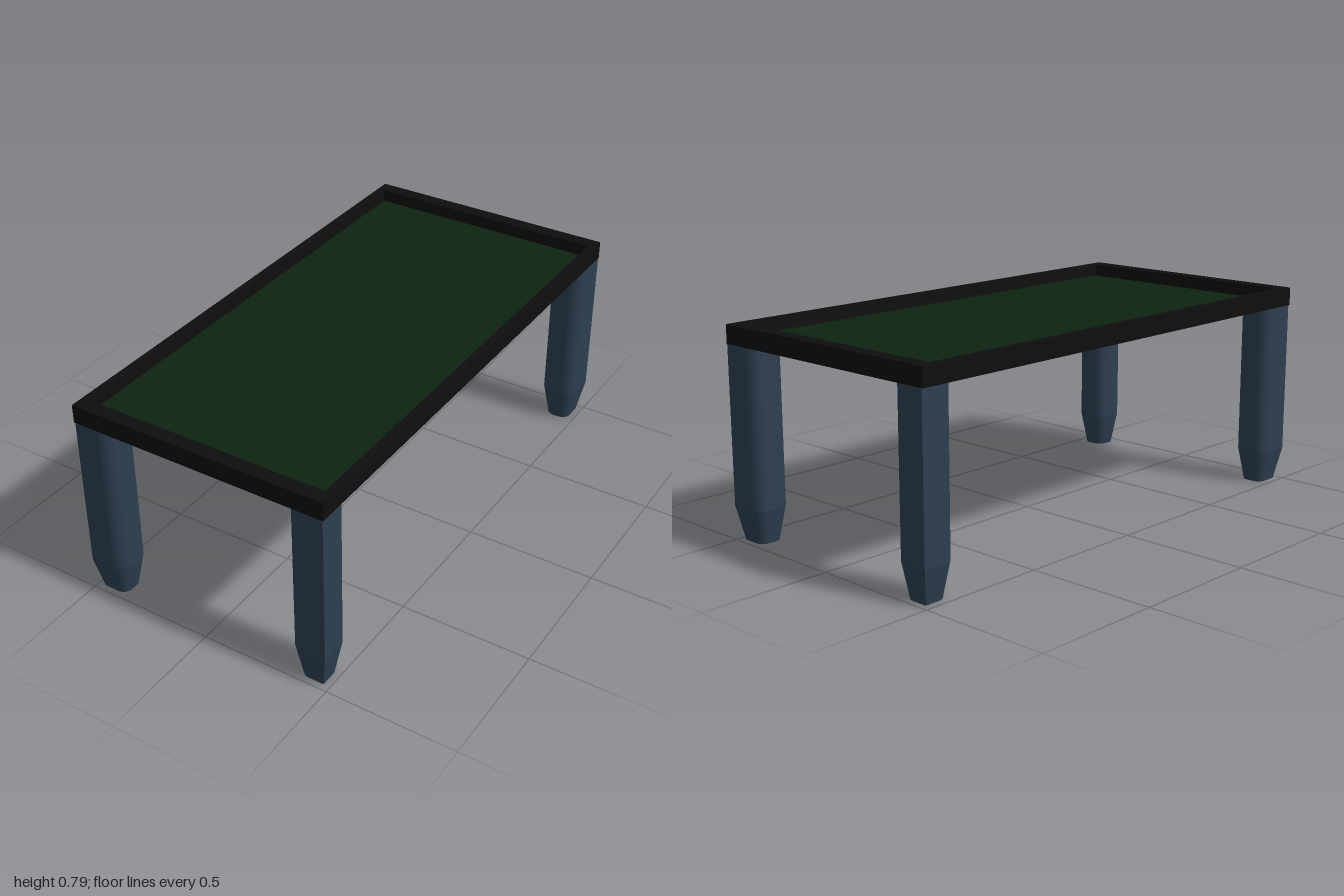
import * as THREE from 'three';
import { toCreasedNormals } from 'three/addons/utils/BufferGeometryUtils.js';

const frameBlack = new THREE.MeshStandardMaterial({ name: 'frame black', color: 0x0f0e0e });
const feltGreen = new THREE.MeshStandardMaterial({ name: 'felt green', color: 0x0d2310 });
const legBlue = new THREE.MeshStandardMaterial({ name: 'leg slate blue', color: 0x2d3e50 });

const HALF = 0.0715, ROUND = 0.052, UNDERSIDE = 0.72, FOOT = 0.13;

function rectangle(Type, hx, hz) {
  const r = new Type();
  r.moveTo(-hx, -hz);
  r.lineTo(hx, -hz);
  r.lineTo(hx, hz);
  r.lineTo(-hx, hz);
  r.closePath();
  return r;
}

// Extrudes a floor-plan shape upwards from y = 0
function extrudeUp(shape, height) {
  const geo = new THREE.ExtrudeGeometry(shape, { depth: height, bevelEnabled: false, curveSegments: 6 });
  return geo.rotateX(-Math.PI / 2);
}

// Square leg plan: three rounded corners, one sharp corner facing outwards (+x, +z)
function legPlan() {
  const h = HALF, c = HALF - ROUND;
  const s = new THREE.Shape();
  s.moveTo(h, -h);
  s.lineTo(h, c);
  s.absarc(c, c, ROUND, 0, Math.PI / 2);
  s.absarc(-c, c, ROUND, Math.PI / 2, Math.PI);
  s.absarc(-c, -c, ROUND, Math.PI, Math.PI * 1.5);
  s.closePath();
  return s;
}

export function createModel() {
  const model = new THREE.Group();
  model.name = 'table';
  const add = (parent, name, geo, mat, y) => {
    const mesh = new THREE.Mesh(geo, mat);
    mesh.name = name;
    mesh.position.y = y;
    parent.add(mesh);
  };

  // Raised rim, base board and sunken playing surface
  const rim = rectangle(THREE.Shape, 0.5, 1);
  rim.holes.push(rectangle(THREE.Path, 0.472, 0.945));
  add(model, 'rim', extrudeUp(rim, 0.07), frameBlack, UNDERSIDE);
  add(model, 'baseBoard', new THREE.BoxGeometry(0.944, 0.015, 1.89), frameBlack, UNDERSIDE + 0.0075);
  add(model, 'feltSurface', new THREE.BoxGeometry(0.944, 0.006, 1.89), feltGreen, UNDERSIDE + 0.018);

  // Straight shaft and a foot that tapers towards the floor
  const shaftGeo = toCreasedNormals(extrudeUp(legPlan(), UNDERSIDE - FOOT), 0.6);
  const taperGeo = extrudeUp(legPlan(), FOOT);
  const p = taperGeo.attributes.position;
  for (let i = 0; i < p.count; i++) {
    const k = 0.66 + 0.34 * (p.getY(i) / FOOT);
    p.setX(i, p.getX(i) * k);
    p.setZ(i, p.getZ(i) * k);
  }
  const footGeo = toCreasedNormals(taperGeo, 0.6);

  // Quarter turns point each sharp corner at its own table corner
  const corners = [['frontLeft', 1, 1], ['backLeft', 1, -1], ['backRight', -1, -1], ['frontRight', -1, 1]];
  corners.forEach(([name, sx, sz], i) => {
    const leg = new THREE.Group();
    leg.name = name + 'Leg';
    add(leg, name + 'Shaft', shaftGeo, legBlue, FOOT);
    add(leg, name + 'Foot', footGeo, legBlue, 0);
    leg.position.set(sx * 0.425 + 0.0015, 0, sz * 0.928);
    leg.rotation.y = i * Math.PI / 2;
    model.add(leg);
  });
  return model;
}
